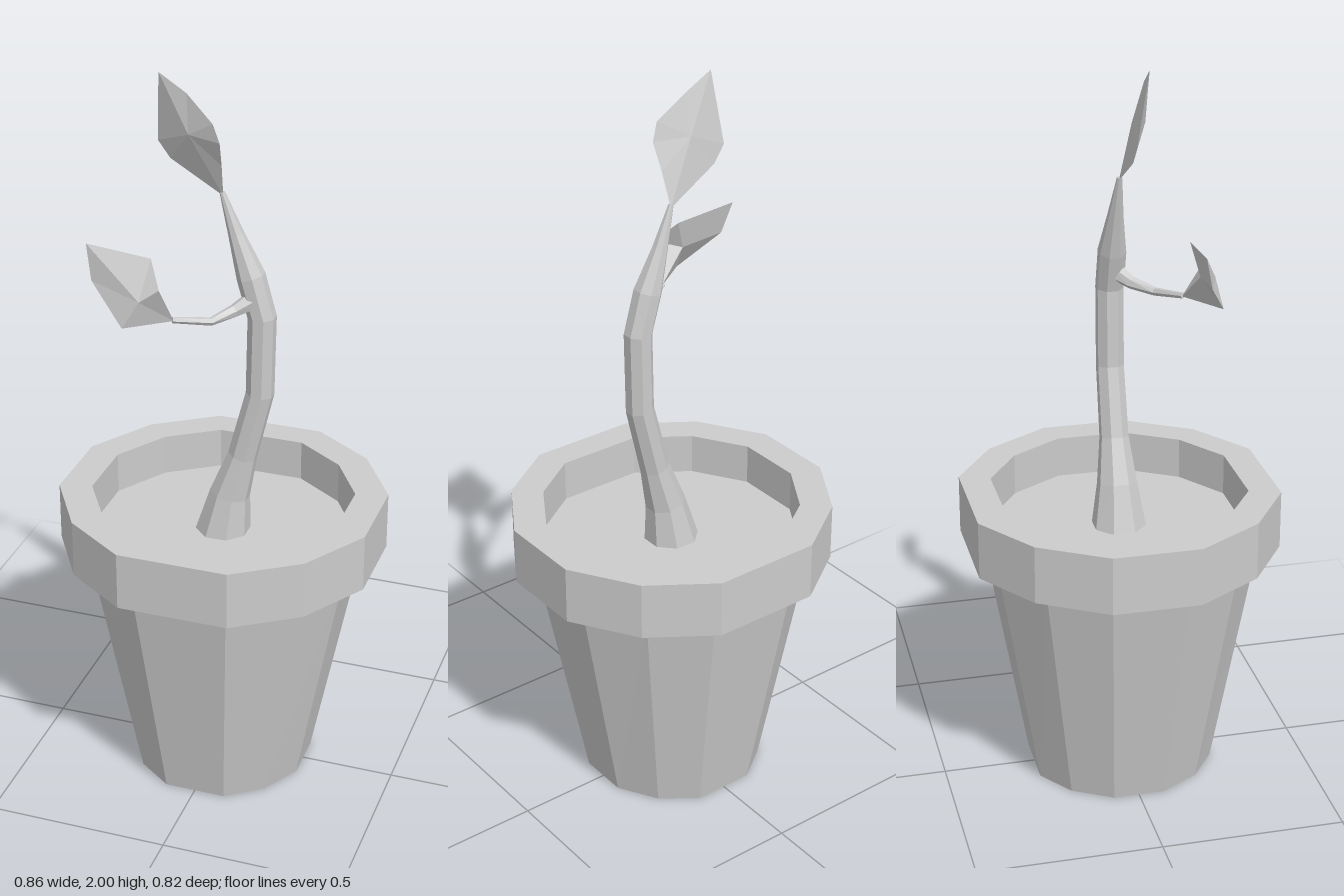
import * as THREE from 'three';

const material = new THREE.MeshStandardMaterial({ color: 0xcccccc, flatShading: true, side: THREE.DoubleSide });

function makeMesh(name, positions) {
  const geo = new THREE.BufferGeometry();
  geo.setAttribute('position', new THREE.Float32BufferAttribute(positions, 3));
  geo.computeVertexNormals();
  const mesh = new THREE.Mesh(geo, material);
  mesh.name = name;
  return mesh;
}

const tri = (out, a, b, c) => out.push(...a, ...b, ...c);

// Triangles from a centre point to every edge of a ring
function fan(out, centre, ring, flip = false) {
  ring.forEach((p, i) => {
    const q = ring[(i + 1) % ring.length];
    if (flip) tri(out, centre, q, p);
    else tri(out, centre, p, q);
  });
}

// Skin between successive rings, each counterclockwise seen from the end
function skin(out, rings) {
  for (let k = 0; k < rings.length - 1; k++) {
    const lo = rings[k], hi = rings[k + 1];
    lo.forEach((p, i) => {
      const j = (i + 1) % lo.length;
      tri(out, p, lo[j], hi[j]);
      tri(out, p, hi[j], hi[i]);
    });
  }
}

// Twelve-sided pot outline, mirrored from one quadrant
const quadrant = [[0.43, 0.118], [0.32, 0.297], [0.15, 0.412]];
const reversed = [...quadrant].reverse();
const outline = [
  ...quadrant.map(([x, z]) => [x, -z]),
  ...reversed.map(([x, z]) => [-x, -z]),
  ...quadrant.map(([x, z]) => [-x, z]),
  ...reversed,
];
const potRing = (sx, sz, y) => outline.map(([x, z]) => [x * sx, y, z * sz]);

// Tapered tube through points given as [x, y, z, radius]
function taperedTube(name, path, sides) {
  const centres = path.map(([x, y, z]) => new THREE.Vector3(x, y, z));
  const rings = path.map((p, k) => {
    const t = centres[Math.min(k + 1, path.length - 1)].clone()
      .sub(centres[Math.max(k - 1, 0)]).normalize();
    const v = new THREE.Vector3(0, 0, 1).addScaledVector(t, -t.z).normalize();
    const u = t.clone().cross(v);
    return Array.from({ length: sides }, (_, i) => {
      const a = (i + 0.5) / sides * Math.PI * 2;
      return centres[k].clone()
        .addScaledVector(u, p[3] * Math.cos(a))
        .addScaledVector(v, -p[3] * Math.sin(a)).toArray();
    });
  });
  const out = [];
  skin(out, rings);
  fan(out, centres[0].toArray(), rings[0], true);
  fan(out, centres.at(-1).toArray(), rings.at(-1));
  return makeMesh(name, out);
}

// Thin faceted leaf: an edge loop with a ridge point in front and behind
function leaf(name, edge, front, back) {
  const out = [];
  fan(out, front, edge);
  fan(out, back, edge, true);
  return makeMesh(name, out);
}

export function createModel() {
  const group = new THREE.Group();
  group.name = 'pottedSeedling';

  // Pot body with closed base
  const body = [];
  const base = potRing(0.56, 0.595, 0);
  skin(body, [base, potRing(0.86, 0.87, 0.67)]);
  fan(body, [0, 0, 0], base, true);
  group.add(makeMesh('potBody', body));

  // Overhanging rim, down its inside to the soil
  const rim = [];
  skin(rim, [
    potRing(0.86, 0.87, 0.67), potRing(1, 1, 0.67), potRing(1, 1, 0.83),
    potRing(0.8, 0.8, 0.83), potRing(0.8, 0.8, 0.715),
  ]);
  group.add(makeMesh('potRim', rim));

  const soil = [];
  fan(soil, [0, 0.715, 0], potRing(0.8, 0.8, 0.715));
  group.add(makeMesh('soil', soil));

  // Bent stem, flared at the soil and thin at the top
  group.add(taperedTube('stem', [
    [0, 0.705, 0, 0.076], [0.02, 0.83, 0, 0.055], [0.055, 0.95, 0, 0.04],
    [0.102, 1.14, 0, 0.038], [0.106, 1.36, 0, 0.038], [0.075, 1.47, 0, 0.038],
    [0.035, 1.58, 0, 0.021], [-0.002, 1.69, 0.002, 0.007],
  ], 8));

  // Side twig
  group.add(taperedTube('twig', [
    [0.085, 1.41, 0.01, 0.026], [0.045, 1.388, 0.045, 0.017],
    [0, 1.374, 0.098, 0.011], [-0.085, 1.388, 0.15, 0.008],
  ], 6));

  group.add(leaf('topLeaf', [
    [0, 1.68, 0], [0.006, 1.77, 0.03], [0.011, 1.84, 0.06], [-0.005, 1.89, 0.065],
    [-0.08, 1.955, 0.045], [-0.155, 2, 0.04], [-0.172, 1.81, 0.005], [-0.14, 1.765, 0.003],
  ], [-0.075, 1.85, 0.05], [-0.075, 1.85, 0.015]));

  group.add(leaf('sideLeaf', [
    [-0.082, 1.385, 0.148], [-0.1, 1.49, 0.205], [-0.14, 1.55, 0.152],
    [-0.318, 1.565, 0.146], [-0.297, 1.475, 0.168], [-0.193, 1.382, 0.228],
  ], [-0.15, 1.455, 0.217], [-0.17, 1.465, 0.172]));

  return group;
}
